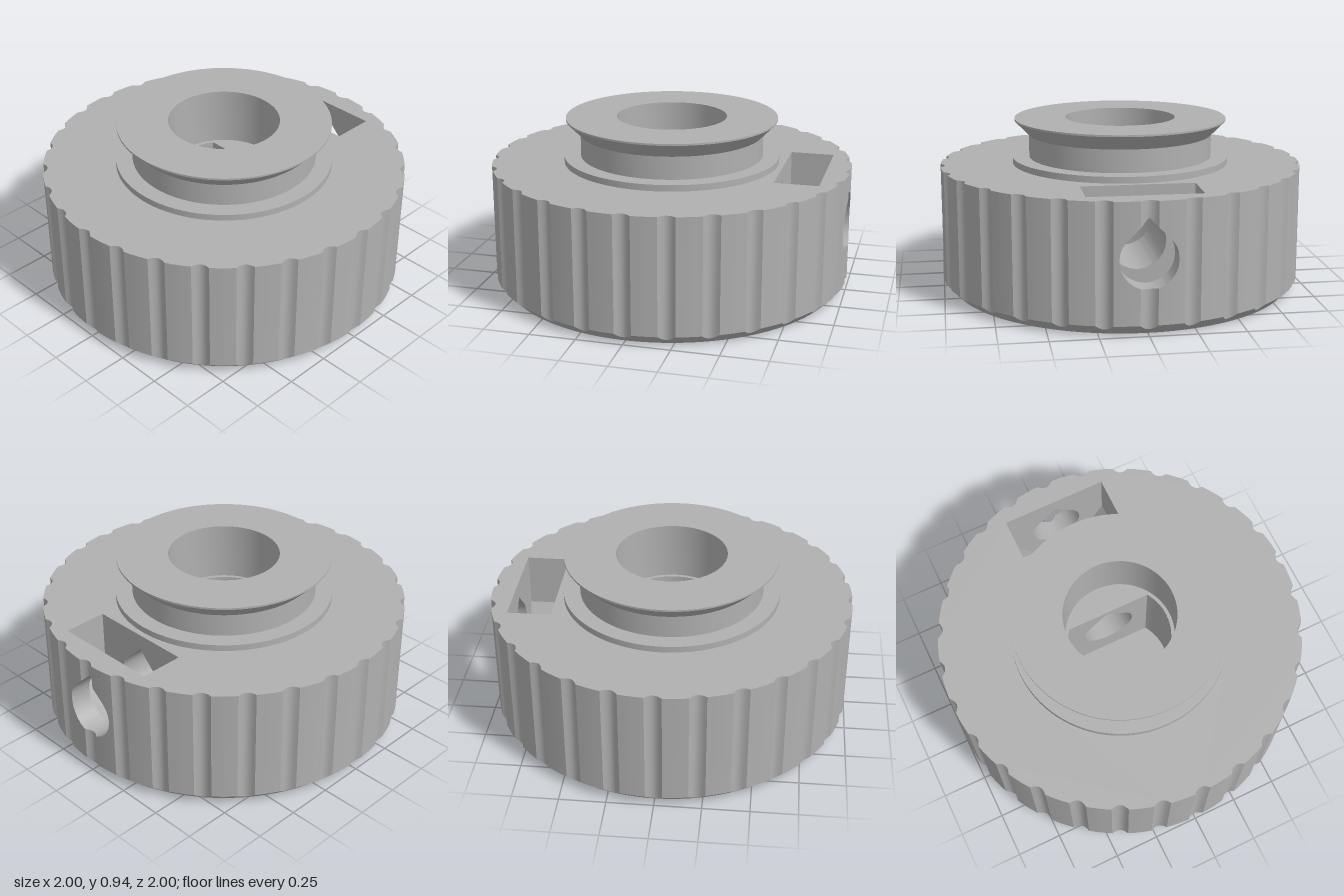
import * as THREE from 'three';
import { toCreasedNormals, mergeGeometries } from 'three/addons/utils/BufferGeometryUtils.js';

const TOP = 0.69, BASE_R = 0.945, GROOVES = 28, HALF = 0.045, DEPTH = 0.025;
const HOLE_Y = 0.39, HOLE_R = 0.15;          // teardrop screw hole along x
const STEP_Y = 0.62, FLOOR_Y = 0.1;          // D-shaped shaft socket
const D_R = 0.285, FLAT_X = 0.15, BORE_R = 0.305;
const NUT_IN = 0.63, NUT_OUT = 0.87;         // nut slot

const V = (x, y, z) => new THREE.Vector3(x, y, z);
const range = (n, f) => Array.from({ length: n }, (_, i) => f(i));

// Quads between two rows of points
function strip(a, b) {
  const pts = [];
  for (let i = 0; i < a.length - 1; i++) pts.push(a[i], b[i], a[i + 1], b[i], b[i + 1], a[i + 1]);
  return new THREE.BufferGeometry().setFromPoints(pts);
}

// Flat face from [u, v] outlines, turned by an Euler angle and then moved
function plate(outline, holes, rx, ry, x, y) {
  const toV2 = (pts) => pts.map(([u, v]) => new THREE.Vector2(u, v));
  const shape = new THREE.Shape(toV2(outline));
  holes.forEach((h) => shape.holes.push(new THREE.Path(toV2(h))));
  return new THREE.ShapeGeometry(shape).rotateX(rx).rotateY(ry).translate(x, y, 0);
}
const Q = Math.PI / 2;
const faceUp = (o, h, y) => plate(o, h, -Q, 0, 0, y);
const faceDown = (o, h, y) => plate(o, h, Q, 0, 0, y);
const faceRightward = (o, h, x) => plate(o, h, 0, Q, x, 0);
const faceInward = (o, h, x) => plate(o, h, 0, -Q, x, 0);
const circle = (r, n = 96) => range(n, (i) => [r * Math.cos(i / n * 2 * Math.PI), r * Math.sin(i / n * 2 * Math.PI)]);

export function createModel() {
  const group = new THREE.Group();
  const grey = new THREE.MeshStandardMaterial({ color: 0xb0b0b0, side: THREE.DoubleSide });
  grey.name = 'grey plastic';
  const add = (name, ...geos) => {
    const geo = geos.length > 1 ? mergeGeometries(geos) : geos[0];
    const mesh = new THREE.Mesh(toCreasedNormals(geo, 0.5), grey);
    mesh.name = name;
    group.add(mesh);
  };

  // Grooved outline: angles at the grooves, the arcs between and the hole
  const step = 2 * Math.PI / GROOVES, end = Math.asin(HOLE_R), angles = [];
  for (let k = 0; k < GROOVES; k++) {
    for (let j = -3; j <= 3; j++) angles.push(k * step + j / 3 * HALF);
    for (const f of [0.085, 0.112, 0.14]) angles.push(k * step + f);
  }
  for (let k = 1; k <= 6; k++) {
    const a = Math.asin(HOLE_R * Math.sin(k * Math.PI / 12));
    angles.push(a, -a);
  }
  const ring = angles.map((a) => (a > 2 * Math.PI - end - 1e-6 ? a - 2 * Math.PI : a)).sort((p, q) => p - q);
  const radius = (a) => {
    const t = (a - Math.round(a / step) * step) / HALF;
    return 1 - DEPTH * Math.max(0, 1 - t * t);
  };
  const at = (a, y, r = radius(a)) => V(r * Math.cos(a), y, r * Math.sin(a));
  const low = (a) => radius(a) - BASE_R;
  const holeAngles = ring.filter((a) => a <= end + 1e-6);
  const rest = [...ring.slice(holeAngles.length - 1), ring[0] + 2 * Math.PI];
  const closedRing = [...ring, ring[0] + 2 * Math.PI];

  // Teardrop: round below, 45 degree point above
  const zOf = (a) => radius(a) * Math.sin(a);
  const dip = (z) => Math.sqrt(Math.max(0, HOLE_R ** 2 - z * z));
  const lo = (a) => HOLE_Y - dip(zOf(a));
  const hi = (a) => {
    const z = Math.abs(zOf(a));
    return HOLE_Y + (z < HOLE_R * Math.SQRT1_2 ? HOLE_R * Math.SQRT2 - z : dip(z));
  };

  add('grooved rim',
    strip(rest.map((a) => at(a, low(a))), rest.map((a) => at(a, TOP))),
    strip(holeAngles.map((a) => at(a, low(a))), holeAngles.map((a) => at(a, lo(a)))),
    strip(holeAngles.map((a) => at(a, hi(a))), holeAngles.map((a) => at(a, TOP))));
  add('bottom chamfer', strip(closedRing.map((a) => at(a, 0, BASE_R)), closedRing.map((a) => at(a, low(a)))));

  // Screw hole, from the rim to the nut slot and on to the socket
  const tear = [
    ...holeAngles.map((a) => ({ a, y: lo(a) })),
    ...holeAngles.slice(0, -1).reverse().map((a) => ({ a, y: hi(a) })),
  ];
  const tearAt = (x) => tear.map(({ a, y }) => V(x ?? radius(a) * Math.cos(a), y, zOf(a)));
  const tearHole = tear.slice(0, -1).map(({ a, y }) => [zOf(a), y]);
  add('outer screw hole', strip(tearAt(), tearAt(NUT_OUT)));
  add('inner screw hole', strip(tearAt(NUT_IN), tearAt(FLAT_X)));

  // Nut slot with a half hexagon at the bottom
  const nut = [[-0.3, TOP], [-0.3, 0.39], [-0.15, 0.13], [0.15, 0.13], [0.3, 0.39], [0.3, TOP]];
  add('nut slot sides', strip(nut.map(([z, y]) => V(NUT_OUT, y, z)), nut.map(([z, y]) => V(NUT_IN, y, z))));
  add('nut slot inner face', faceRightward(nut, [tearHole], NUT_IN));
  add('nut slot outer face', faceInward(nut, [tearHole], NUT_OUT));

  // Top face around the collar
  const slotTop = [[NUT_IN, -0.3], [NUT_OUT, -0.3], [NUT_OUT, 0.3], [NUT_IN, 0.3]];
  add('top face', faceUp(ring.map((a) => [radius(a) * Math.cos(a), zOf(a)]), [circle(0.6), slotTop], TOP));

  // Collar, neck, flared lip and round bore
  const profile = [[0.6, TOP], [0.6, 0.725], [0.508, 0.725], [0.508, 0.85], [0.587, 0.93],
    [0.587, 0.94], [BORE_R, 0.94], [BORE_R, STEP_Y]].map(([r, y]) => new THREE.Vector2(r, y));
  add('flared collar', new THREE.LatheGeometry(profile, 96));

  // D-shaped shaft socket
  const start = Math.acos(FLAT_X / D_R);
  const dArc = range(65, (i) => start + i / 64 * 2 * (Math.PI - start));
  const dShape = dArc.map((a) => [D_R * Math.cos(a), D_R * Math.sin(a)]);
  const dz = D_R * Math.sin(start);
  add('socket step', faceUp(circle(BORE_R), [dShape], STEP_Y));
  add('socket wall', strip(dArc.map((a) => at(a, STEP_Y, D_R)), dArc.map((a) => at(a, FLOOR_Y, D_R))));
  add('socket flat', faceInward([[-dz, FLOOR_Y], [dz, FLOOR_Y], [dz, STEP_Y], [-dz, STEP_Y]], [tearHole], FLAT_X));
  add('socket floor', faceUp(dShape, [], FLOOR_Y));

  // Underside with the recessed pointer mark
  const mark = [[0.025, 0.53], [0.025, 0.84], [-0.025, 0.84], [-0.025, 0.53]];
  const markLoop = (y) => [...mark, mark[0]].map(([x, z]) => V(x, y, z));
  add('bottom face', faceDown(ring.map((a) => [BASE_R * Math.cos(a), BASE_R * Math.sin(a)]), [mark], 0));
  add('pointer mark sides', strip(markLoop(0.03), markLoop(0)));
  add('pointer mark', faceDown(mark, [], 0.03));

  return group;
}
